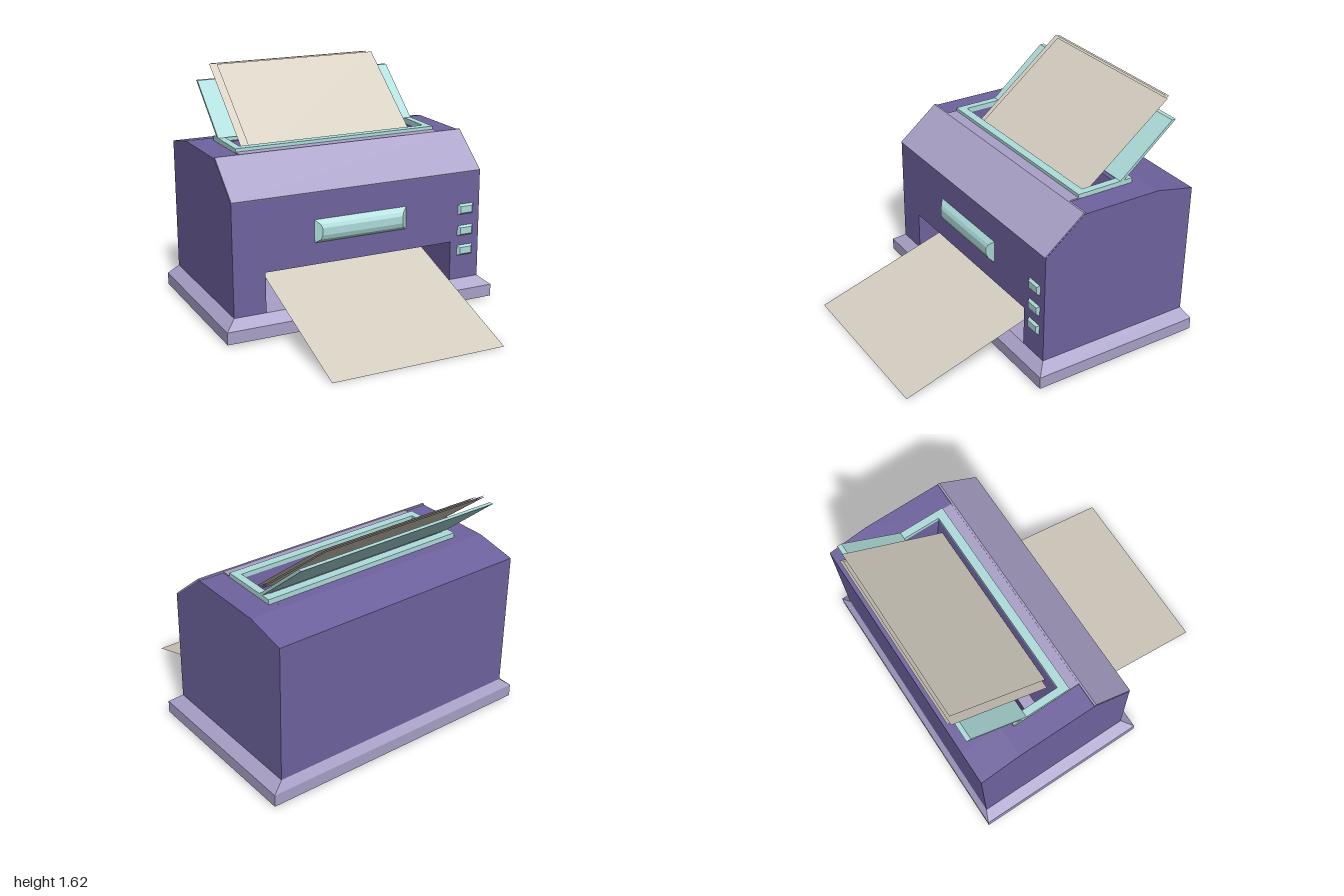
import * as THREE from 'three';

const mat = (color, side = THREE.FrontSide) =>
  new THREE.MeshStandardMaterial({ color, side, flatShading: true });

const purple = mat(0x6f639f);
const lilac = mat(0xa9a1c8);
const mint = mat(0xaedddb);
const grey = mat(0x8a8a8a);
const paper = mat(0xd6cfc2, THREE.DoubleSide);

function add(parent, name, geometry, material) {
  const mesh = new THREE.Mesh(geometry, material);
  mesh.name = name;
  parent.add(mesh);
  return mesh;
}

// Extrudes a side profile of [z, y] points from x0 to x1
function sideExtrude(points, x0, x1) {
  const shape = new THREE.Shape(points.map(([z, y]) => new THREE.Vector2(z, y)));
  const geo = new THREE.ExtrudeGeometry(shape, { depth: x1 - x0, bevelEnabled: false });
  return geo.rotateY(-Math.PI / 2).translate(x1, 0, 0);
}

// Stacks rectangular sections [x0, x1, y0, y1, z] towards +z and caps both ends
function rectLoft(sections) {
  const pos = [];
  const index = [];
  for (const [x0, x1, y0, y1, z] of sections) {
    pos.push(x0, y0, z, x1, y0, z, x1, y1, z, x0, y1, z);
  }
  const last = (sections.length - 1) * 4;
  for (let s = 0; s < last; s += 4) {
    for (let i = 0; i < 4; i++) {
      const a = s + i, b = s + (i + 1) % 4;
      index.push(a, b, b + 4, a, b + 4, a + 4);
    }
  }
  index.push(0, 2, 1, 0, 3, 2, last, last + 1, last + 2, last, last + 2, last + 3);
  const geo = new THREE.BufferGeometry();
  geo.setAttribute('position', new THREE.Float32BufferAttribute(pos, 3));
  geo.setIndex(index);
  const flat = geo.toNonIndexed();
  flat.computeVertexNormals();
  return flat;
}

// Thin sheet spanning x0..x1 between two [z, y] points
function sheet(x0, x1, [z0, y0], [z1, y1]) {
  const geo = new THREE.PlaneGeometry(x1 - x0, Math.hypot(z1 - z0, y1 - y0));
  geo.rotateX(Math.atan2(z1 - z0, y1 - y0));
  return geo.translate((x0 + x1) / 2, (y0 + y1) / 2, (z0 + z1) / 2);
}

export function createModel() {
  const model = new THREE.Group();
  model.name = 'printer';

  // Base plinth with bevelled upper rim
  const base = rectLoft([
    [-0.995, 0.995, -0.24, 1, 0.02],
    [-0.995, 0.995, -0.24, 1, 0.105],
    [-0.92, 0.92, -0.17, 0.965, 0.165],
  ]).rotateX(-Math.PI / 2);
  add(model, 'base', base, lilac);
  add(model, 'bottomPlate', new THREE.BoxGeometry(1.98, 0.006, 1.23).translate(0, 0.02, -0.38), grey);
  add(model, 'bottomStripe', new THREE.BoxGeometry(1.98, 0.006, 0.1).translate(0, 0.017, -0.36), purple);

  // Body cheeks on both sides of the paper channel
  const cheek = [[0.17, 0.16], [0.17, 0.94], [-0.11, 1.165], [-0.68, 1.16], [-0.965, 1.1], [-0.965, 0.16]];
  for (const [name, x0, x1] of [['rightCheek', -0.92, -0.695], ['leftCheek', 0.695, 0.92]]) {
    add(model, name, sideExtrude(cheek, x0, x1), purple);
  }

  // Middle of the body, split by the channel from feed slot to output slot
  add(model, 'bodyFront', sideExtrude(
    [[0.17, 0.445], [0.17, 0.94], [-0.11, 1.165], [-0.25, 1.164], [-0.33, 0.6]], -0.695, 0.695), purple);
  add(model, 'bodyBack', sideExtrude(
    [[-0.42, 0.1], [-0.37, 0.31], [-0.52, 1.162], [-0.68, 1.16], [-0.965, 1.1], [-0.965, 0.1]],
    -0.695, 0.695), purple);

  // Light sloping front panel and the strip behind it
  add(model, 'slopedPanel', sideExtrude(
    [[0.168, 0.932], [0.175, 0.945], [-0.107, 1.175], [-0.12, 1.175], [-0.12, 1.16]], -0.918, 0.918), lilac);
  add(model, 'topStrip', new THREE.BoxGeometry(1.49, 0.015, 0.1).translate(0, 1.165, -0.165), lilac);

  // Feed frame
  const frame = new THREE.Shape([[-0.745, 0.19], [0.745, 0.19], [0.745, 0.61], [-0.745, 0.61]]
    .map(p => new THREE.Vector2(...p)));
  frame.holes.push(new THREE.Path([[-0.695, 0.25], [-0.695, 0.55], [0.695, 0.55], [0.695, 0.25]]
    .map(p => new THREE.Vector2(...p))));
  add(model, 'feedFrame', new THREE.ExtrudeGeometry(frame, { depth: 0.037, bevelEnabled: false })
    .rotateX(-Math.PI / 2).translate(0, 1.158, 0), mint);

  // Tilted paper support
  add(model, 'paperSupport', sideExtrude(
    [[-0.515, 1.195], [-0.545, 1.195], [-0.935, 1.525], [-0.905, 1.525]], -0.745, 0.745), mint);

  // Sheets waiting in the feed
  [[-0.585, 0.64, -0.945, 1.622], [-0.635, 0.595, -0.965, 1.625], [-0.62, 0.61, -0.98, 1.625]]
    .forEach(([x0, x1, z, y], i) => {
      add(model, `feedSheet${i + 1}`, sheet(x0, x1, [-0.265 - i * 0.02, 1.08], [z, y]), paper);
    });

  // Printed sheet sliding out of the front
  add(model, 'outputSheet', sheet(-0.613, 0.613, [1, 0], [-0.13, 0.355]), paper);

  // Front handle and buttons
  add(model, 'handle', rectLoft([
    [-0.35, 0.345, 0.59, 0.76, 0.165],
    [-0.31, 0.305, 0.62, 0.725, 0.196],
    [-0.3, 0.295, 0.65, 0.7, 0.207],
  ]), mint);
  for (const [i, y] of [0.675, 0.52, 0.375].entries()) {
    add(model, `button${i + 1}`, rectLoft([
      [0.745, 0.875, y - 0.042, y + 0.04, 0.165],
      [0.765, 0.855, y - 0.024, y + 0.024, 0.188],
    ]), mint);
  }

  return model;
}
